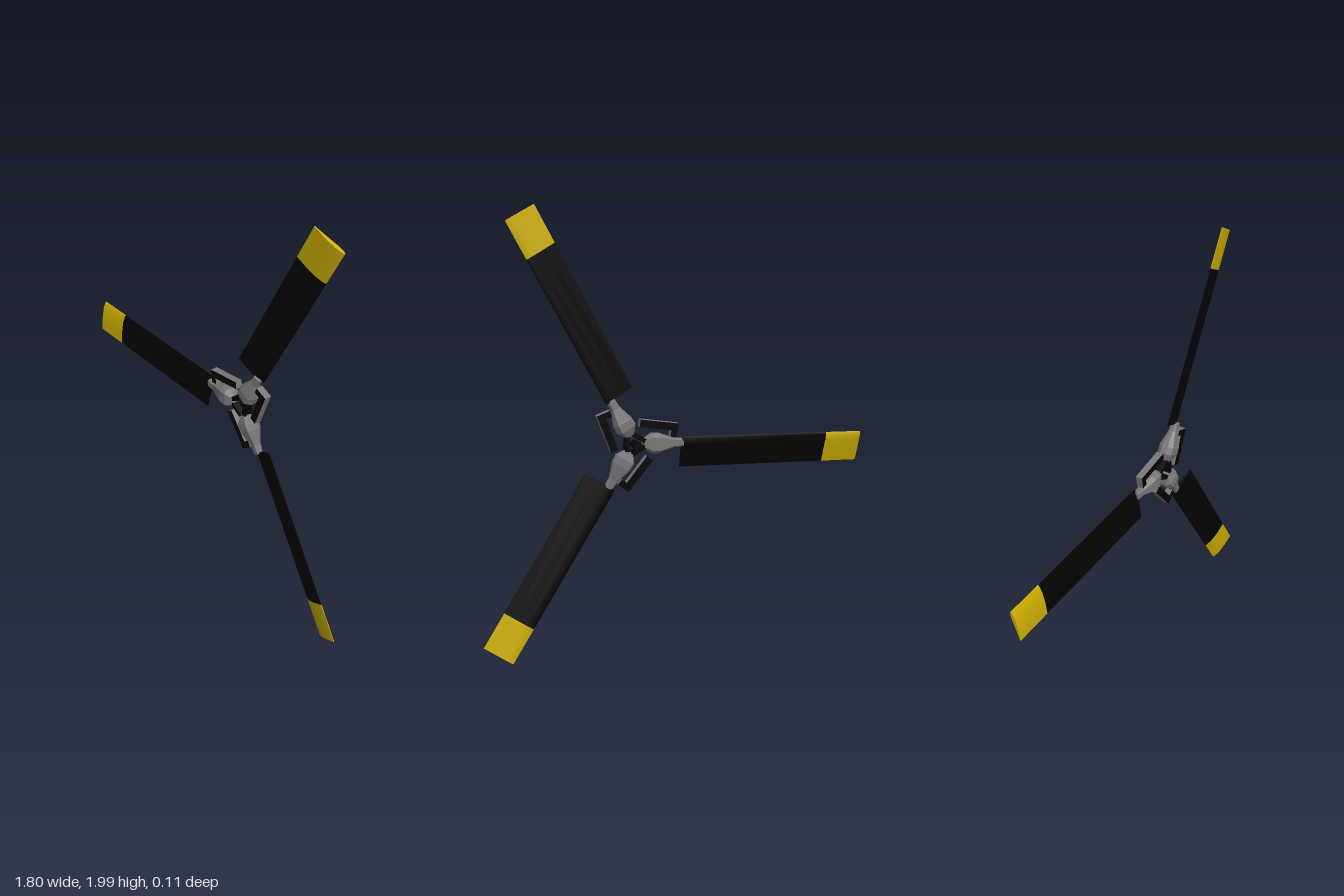
import * as THREE from 'three';
import { toCreasedNormals } from 'three/addons/utils/BufferGeometryUtils.js';

const black = new THREE.MeshStandardMaterial({ color: 0x030303 });
black.name = 'black';
const yellow = new THREE.MeshStandardMaterial({ color: 0xcbad02 });
yellow.name = 'yellow';
const grey = new THREE.MeshStandardMaterial({ color: 0x78787a });
grey.name = 'grey';

function mesh(name, geometry, material) {
  const m = new THREE.Mesh(geometry, material);
  m.name = name;
  return m;
}

const polygon = (points) => new THREE.Shape(points.map(([x, y]) => new THREE.Vector2(x, y)));

// Cambered blade profile: x across the chord, y through the thickness
const airfoil = polygon([
  [-0.028, 0.002], [-0.018, -0.001], [0.01, 0.004], [0.06, 0.019], [0.117, 0.035],
  [0.117, 0.038], [0.06, 0.033], [0.01, 0.023], [-0.018, 0.012], [-0.027, 0.007],
]);

// Runs the profile along +x from one radius to another
function bladeSection(from, to) {
  const g = new THREE.ExtrudeGeometry(airfoil, { depth: to - from, bevelEnabled: false });
  g.applyMatrix4(new THREE.Matrix4().makeBasis(
    new THREE.Vector3(0, 1, 0), new THREE.Vector3(0, 0, 1), new THREE.Vector3(1, 0, 0)));
  g.translate(from, 0, 0);
  return toCreasedNormals(g, 0.6);
}

// Faceted grip lofted through eight-sided sections [x, half width, half depth]
function gripGeometry() {
  const sections = [
    [0.04, 0.02, 0.018], [0.08, 0.046, 0.036], [0.115, 0.044, 0.036],
    [0.185, 0.021, 0.018], [0.228, 0.019, 0.015],
  ];
  const corners = [[1, 0.4], [0.65, 1], [-0.65, 1], [-1, 0.4], [-1, -0.4], [-0.65, -1], [0.65, -1], [1, -0.4]];
  const n = corners.length;
  const pos = [];
  const index = [];
  for (const [x, w, d] of sections) {
    for (const [a, b] of corners) pos.push(x, a * w, 0.016 + b * d);
  }
  for (let s = 0; s < sections.length - 1; s++) {
    for (let i = 0; i < n; i++) {
      const a = s * n + i;
      const b = s * n + (i + 1) % n;
      index.push(a, b, b + n, a, b + n, a + n);
    }
  }
  const last = (sections.length - 1) * n;
  for (let i = 1; i < n - 1; i++) {
    index.push(0, i + 1, i, last, last + i, last + i + 1);
  }
  const g = new THREE.BufferGeometry();
  g.setAttribute('position', new THREE.Float32BufferAttribute(pos, 3));
  g.setIndex(index);
  const flat = g.toNonIndexed();
  flat.computeVertexNormals();
  return flat;
}

// L-shaped pitch arm beside the grip
function pitchArmGeometry() {
  return new THREE.ExtrudeGeometry(polygon([
    [0.022, -0.111], [0.2, -0.088], [0.192, -0.026], [0.163, -0.03],
    [0.167, -0.058], [0.019, -0.077],
  ]), { depth: 0.032, bevelEnabled: false });
}

// Triangular hub frame with its corners running into the grips
function hubFrameGeometry() {
  const triangle = (r) => [0, 1, 2].map((i) => {
    const a = i * Math.PI * 2 / 3;
    return [r * Math.cos(a), r * Math.sin(a)];
  });
  const shape = polygon(triangle(0.088));
  shape.holes.push(polygon(triangle(0.05)));
  const g = new THREE.ExtrudeGeometry(shape, { depth: 0.04, bevelEnabled: false });
  g.translate(0, 0, -0.004);
  return g;
}

export function createModel() {
  const model = new THREE.Group();
  model.name = 'rotor';
  const rotor = new THREE.Group();
  rotor.name = 'rotorHead';
  rotor.position.set(0.205, 0.962, 0);
  rotor.rotation.z = THREE.MathUtils.degToRad(62.2);
  model.add(rotor);

  // Hub frame and the drive shaft behind it
  rotor.add(mesh('hubFrame', hubFrameGeometry(), black));
  const shaft = mesh('driveShaft', new THREE.CylinderGeometry(0.019, 0.019, 0.07, 12), black);
  shaft.rotation.x = Math.PI / 2;
  shaft.position.z = -0.02;
  rotor.add(shaft);

  // Three identical arms; the pitch arms have black faces and grey edges
  const blade = bladeSection(0.222, 0.932);
  const tip = bladeSection(0.932, 1.111);
  const grip = gripGeometry();
  const pitchArm = pitchArmGeometry();
  for (let i = 0; i < 3; i++) {
    const arm = new THREE.Group();
    arm.name = 'bladeArm' + (i + 1);
    arm.rotation.z = i * Math.PI * 2 / 3;
    arm.add(
      mesh('blade', blade, black),
      mesh('bladeTip', tip, yellow),
      mesh('bladeGrip', grip, grey),
      mesh('pitchArm', pitchArm, [black, grey]),
    );
    rotor.add(arm);
  }
  return model;
}
